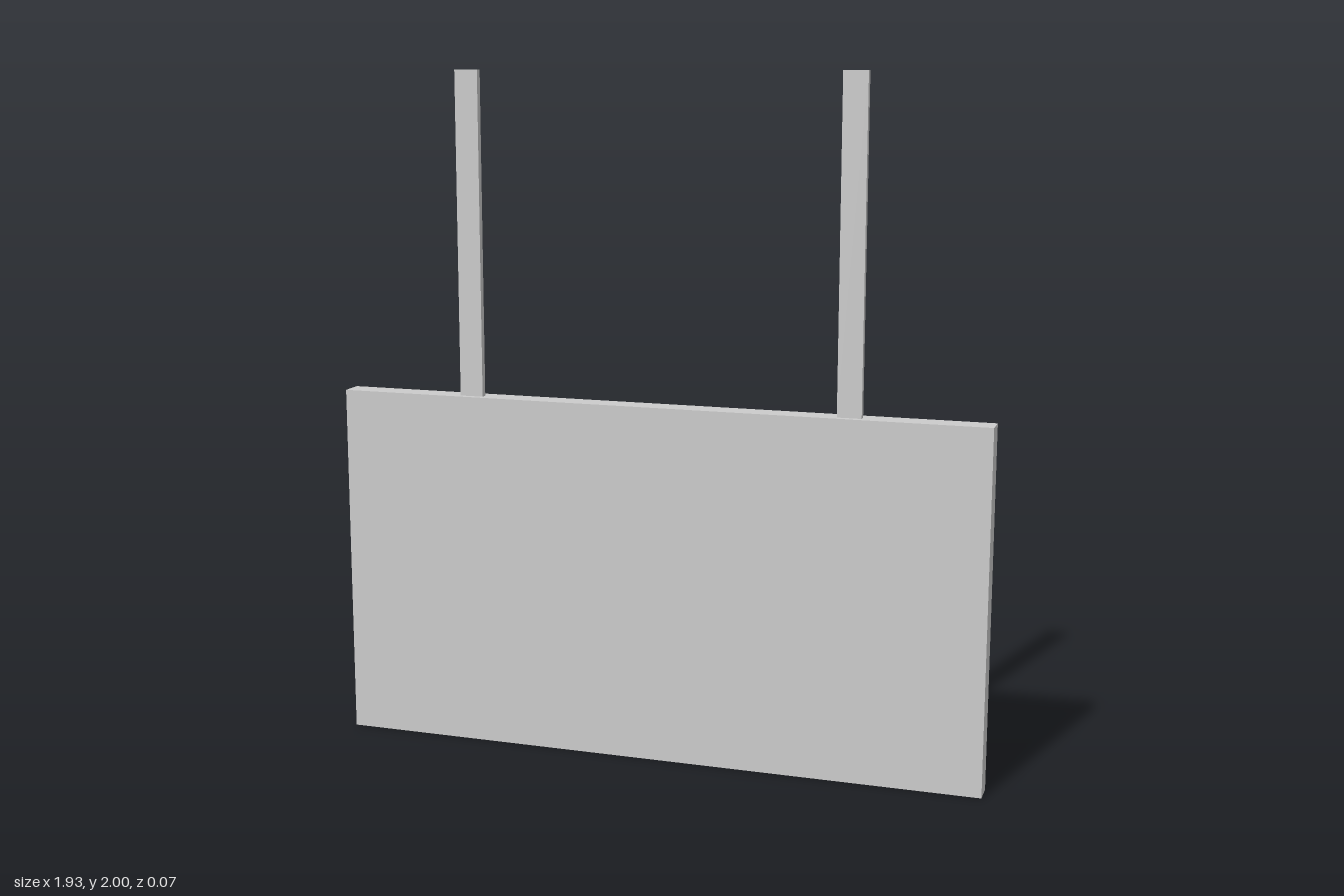
import * as THREE from 'three';

export function createModel() {
  const model = new THREE.Group();
  model.name = 'hangingSign';
  const material = new THREE.MeshStandardMaterial({ color: 0xcccccc });

  const addBox = (name, size, position) => {
    const mesh = new THREE.Mesh(new THREE.BoxGeometry(...size), material);
    mesh.name = name;
    mesh.position.set(...position);
    model.add(mesh);
  };

  // Sign board
  const boardHeight = 1.055;
  addBox('board', [1.934, boardHeight, 0.07], [0, boardHeight / 2, 0]);

  // Flat hanging straps standing on the top edge, slightly forward of centre
  const strapHeight = 2 - boardHeight;
  for (const [name, side] of [['leftStrap', 1], ['rightStrap', -1]]) {
    addBox(name, [0.07, strapHeight, 0.02], [side * 0.566, boardHeight + strapHeight / 2, 0.007]);
  }
  return model;
}
